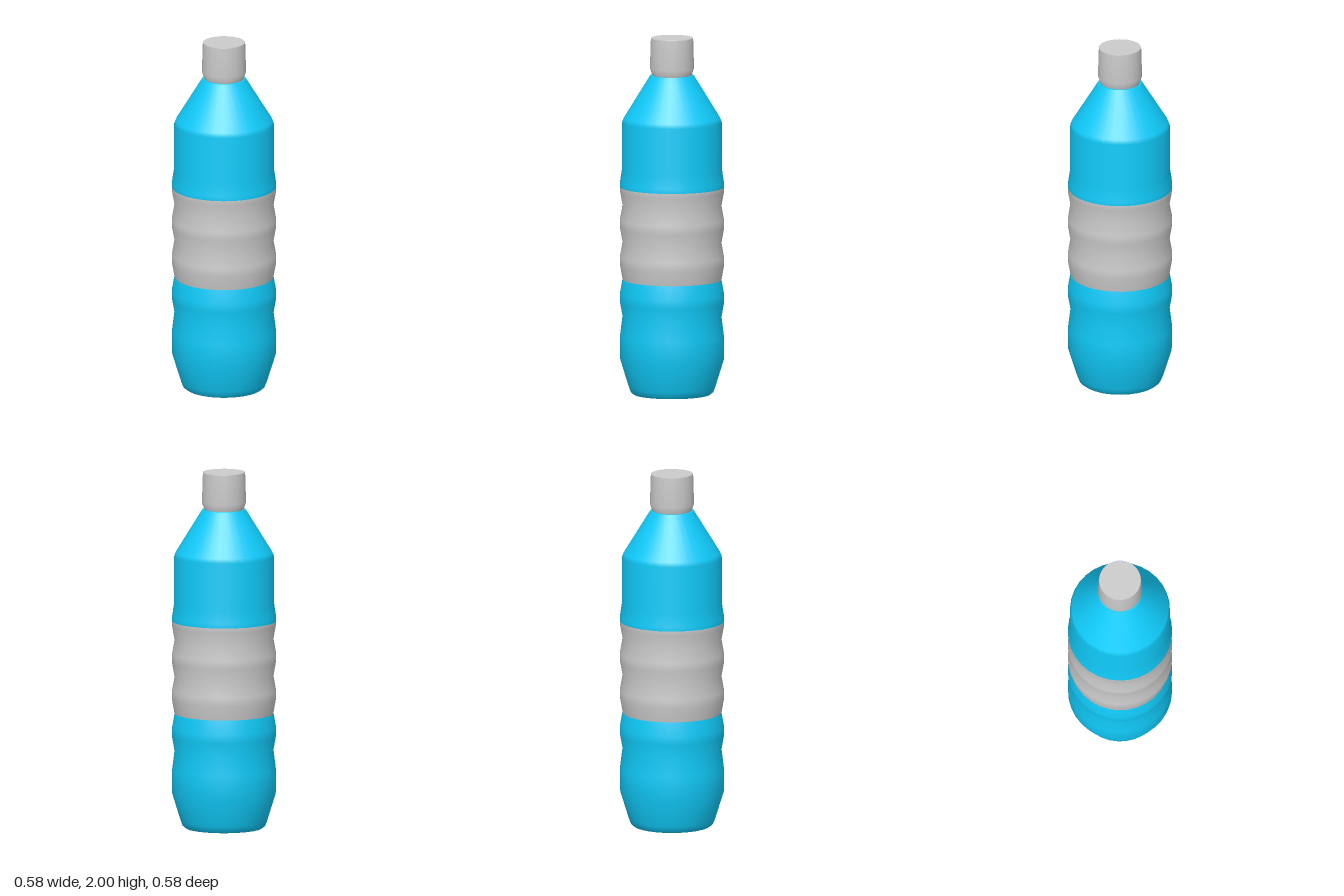
import * as THREE from 'three';

const SIDES = 32;
const blue = new THREE.MeshStandardMaterial({ color: 0x10cbfa });
const grey = new THREE.MeshStandardMaterial({ color: 0xcccccc });

export function createModel() {
  const bottle = new THREE.Group();
  bottle.name = 'bottle';

  // Revolve a [radius, height] profile, listed bottom to top
  const lathe = (name, profile, material) => {
    const points = profile.map(([r, y]) => new THREE.Vector2(r, y));
    const mesh = new THREE.Mesh(new THREE.LatheGeometry(points, SIDES), material);
    mesh.name = name;
    bottle.add(mesh);
  };

  // Grip ribs alternate between narrow and wide rings
  const narrow = 0.276, wide = 0.29, step = 0.104, ribStart = 0.435;
  const ribs = (from, to) => {
    const rings = [];
    for (let i = from; i <= to; i++) {
      const y = ribStart + i * step;
      if (i % 2) rings.push([wide, y - 0.025], [wide, y + 0.025]);
      else rings.push([narrow, y]);
    }
    return rings;
  };
  const labelBottom = ribStart + 2 * step;
  const labelTop = ribStart + 7 * step;

  // Flat underside
  lathe('base', [[0, 0], [0.215, 0]], blue);

  // Tapered foot and lower ribs
  lathe('lowerBody', [
    [0.215, 0], [0.23, 0.012], [0.241, 0.04], [0.289, 0.195], [0.289, 0.33],
    ...ribs(0, 2),
  ], blue);

  // Label band following the ribs
  lathe('label', [...ribs(2, 6), [wide, labelTop - 0.025], [wide, labelTop]], grey);

  // Upper body and conical shoulder
  lathe('upperBody', [
    [wide, labelTop], [wide, labelTop + 0.025], [0.279, 1.26], [0.278, 1.525],
    [0.268, 1.55], [0.128, 1.778], [0.12, 1.79],
  ], blue);
  lathe('neckRim', [[0.12, 1.79], [0, 1.79]], blue);

  // Screw cap with a tucked lower edge and flat top
  lathe('cap', [[0.109, 1.788], [0.123, 1.83], [0.118, 1.995], [0.116, 2]], grey);
  lathe('capTop', [[0.116, 2], [0, 2]], grey);

  return bottle;
}
